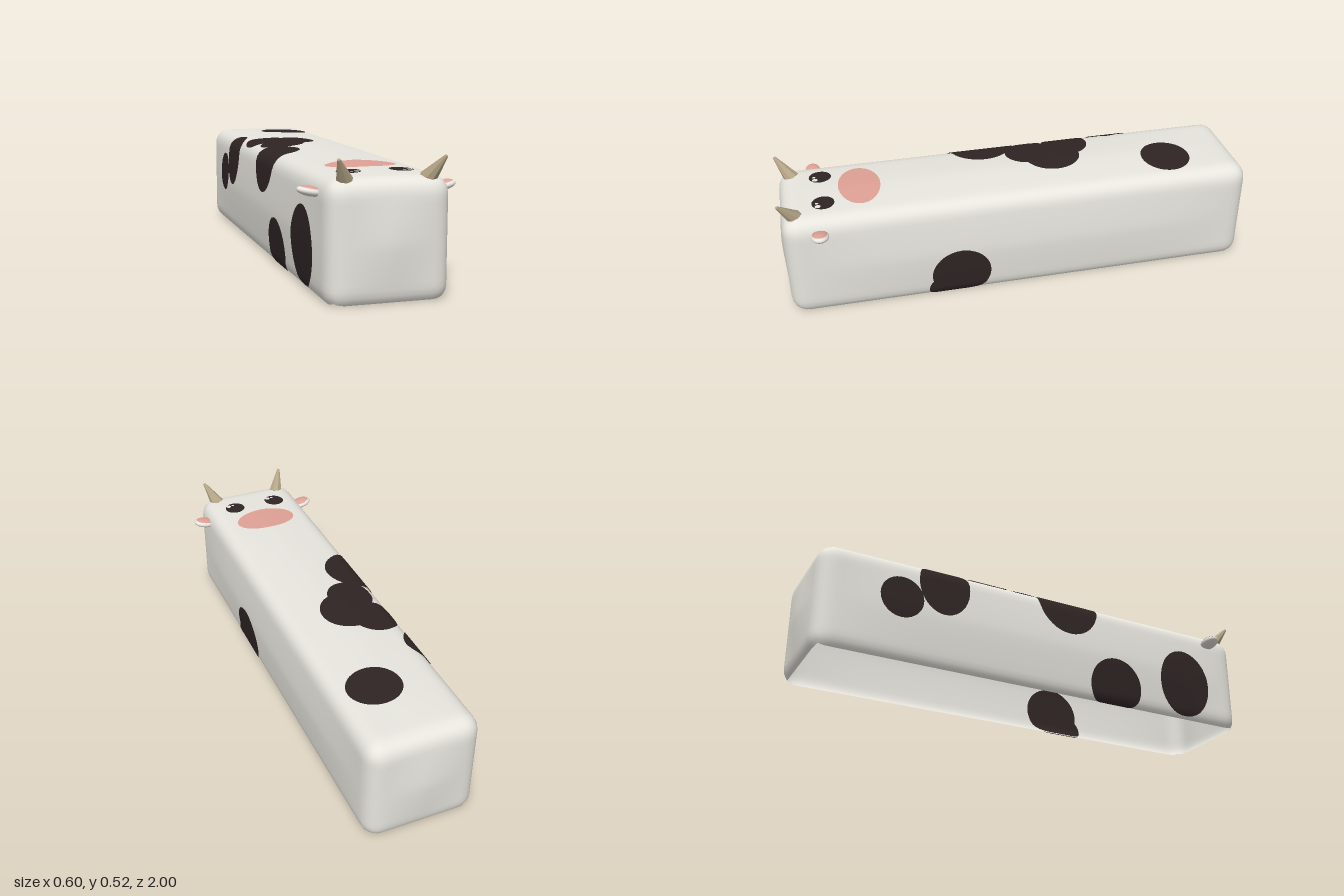
import * as THREE from 'three';
import { mergeGeometries, mergeVertices } from 'three/addons/utils/BufferGeometryUtils.js';

const material = (name, color, side = THREE.FrontSide) => {
  const m = new THREE.MeshStandardMaterial({ color, side });
  m.name = name;
  return m;
};

// Body box: half width, bottom, top, half length, edge radius
const HX = 0.23, Y0 = -0.0205, Y1 = 0.44, HZ = 0.985, R = 0.069;
const MID = (Y0 + Y1) / 2, HY = (Y1 - Y0) / 2;

// Moves a point of the plain box onto the rounded, slightly swollen skin
function skin(p, lift = 0) {
  const core = new THREE.Vector3(
    THREE.MathUtils.clamp(p.x, -HX + R, HX - R),
    THREE.MathUtils.clamp(p.y, Y0 + R, Y1 - R),
    THREE.MathUtils.clamp(p.z, -HZ + R, HZ - R)
  );
  const n = p.clone().sub(core).normalize();
  const swell = (v, half, power) => 1 - Math.min(1, Math.abs(v) / (half - R)) ** power;
  const sx = swell(p.x, HX, 1.4), sy = swell(p.y - MID, HY, 1.4), sz = swell(p.z, HZ, 4);
  const out = core.addScaledVector(n, R + lift);
  out.x += n.x * 0.013 * sy * sz;
  out.y += n.y * 0.011 * sx * sz;
  out.z += n.z * 0.015 * sx * sy;
  return out;
}

function reshape(geometry, rule) {
  const pos = geometry.attributes.position;
  const p = new THREE.Vector3();
  for (let i = 0; i < pos.count; i++) {
    const q = rule(p.fromBufferAttribute(pos, i));
    pos.setXYZ(i, q.x, q.y, q.z);
  }
  return geometry;
}

// Shell without a floor
function bodyGeometry() {
  const box = new THREE.BoxGeometry(2 * HX, 2 * HY, 2 * HZ, 20, 20, 80);
  box.translate(0, MID, 0);
  const index = Array.from(box.index.array);
  const floor = box.groups[3];
  index.splice(floor.start, floor.count);
  box.setIndex(index);
  box.clearGroups();
  box.deleteAttribute('normal');
  box.deleteAttribute('uv');
  const g = mergeVertices(reshape(box, (p) => skin(p)));
  g.computeVertexNormals();
  return g;
}

// Box point at distance s from the top centre line, running over the edge and down the side
function unroll(s, z) {
  const a = Math.abs(s), side = Math.sign(s);
  return a <= HX
    ? new THREE.Vector3(s, Y1, z)
    : new THREE.Vector3(side * HX, Math.max(Y0, Y1 - (a - HX)), z);
}

// Thin oval patches that follow the skin, outside and inside
function patch(ovals, lift = 0.003) {
  const parts = [];
  for (const [s, z, rs, rz] of ovals) {
    for (const l of [lift, -lift]) {
      const g = new THREE.RingGeometry(0, 1, 40, 10);
      reshape(g, (p) => skin(unroll(s + p.y * rs, z + p.x * rz), l));
      g.computeVertexNormals();
      parts.push(g);
    }
  }
  return mergeGeometries(parts);
}

// Distance along the unrolled skin of a side point at height y
const down = (y) => HX + Y1 - y;

export function createModel() {
  const hide = material('white hide', 0xe8e6df, THREE.DoubleSide);
  const dark = material('dark brown', 0x2f2424, THREE.DoubleSide);
  const pink = material('pink', 0xdfa195, THREE.DoubleSide);
  const horn = material('horn', 0xb5a587);

  const model = new THREE.Group();
  model.name = 'longCow';
  const add = (name, geometry, mat, parent = model) => {
    const mesh = new THREE.Mesh(geometry, mat);
    mesh.name = name;
    parent.add(mesh);
    return mesh;
  };

  add('body', bodyGeometry(), hide);

  // Hide spots: [across, along, half across, half along]
  const spots = {
    rumpSpot: [[0.06, -0.66, 0.11, 0.105]],
    backSpot: [[-0.14, -0.26, 0.1, 0.1], [-0.045, -0.18, 0.11, 0.12], [-0.1, -0.09, 0.095, 0.105]],
    shoulderSpot: [[-0.24, 0.105, 0.16, 0.145]],
    hipSpot: [[-0.31, -0.47, 0.14, 0.11]],
    thighSpot: [[-down(0.26), -0.65, 0.09, 0.09]],
    neckSpot: [[-down(0.16), 0.69, 0.155, 0.13]],
    rightBellySpot: [[-down(0.075), 0.33, 0.125, 0.125]],
    leftBellySpot: [[down(0.1), 0.275, 0.122, 0.125], [down(0.03), 0.33, 0.07, 0.085]],
  };
  for (const [name, ovals] of Object.entries(spots)) add(name, patch(ovals), dark);

  // Face on the top of the front end
  add('muzzle', patch([[0, 0.655, 0.137, 0.087]]), pink);

  for (const side of [1, -1]) {
    const label = side > 0 ? 'left' : 'right';
    add(label + 'Eye', patch([[side * 0.1, 0.81, 0.045, 0.046]]), dark);
    add(label + 'EyeShine',
      patch([[side * 0.1 + 0.025, 0.832, 0.011, 0.012], [side * 0.1 + 0.003, 0.835, 0.006, 0.007]], 0.005), hide);

    // Horn: faceted cone leaning outwards and forwards
    const base = new THREE.Vector3(side * 0.152, 0.423, 0.925);
    const tip = new THREE.Vector3(side * 0.195, 0.51, 0.988);
    const axis = tip.clone().sub(base);
    const cone = new THREE.CylinderGeometry(0.006, 0.033, axis.length(), 8, 1).toNonIndexed();
    cone.computeVertexNormals();
    const hornMesh = add(label + 'Horn', cone, horn);
    hornMesh.position.copy(base).lerp(tip, 0.5);
    hornMesh.quaternion.setFromUnitVectors(new THREE.Vector3(0, 1, 0), axis.normalize());

    // Ear: flat ellipsoid with a pink upper side
    const ear = new THREE.Group();
    ear.name = label + 'Ear';
    ear.position.set(side * 0.25, 0.384, 0.837);
    ear.rotation.z = side * 0.2;
    model.add(ear);
    add('earShell', new THREE.SphereGeometry(1, 20, 14).scale(0.05, 0.018, 0.036), hide, ear);
    add('earInside',
      new THREE.SphereGeometry(1, 20, 6, 0, Math.PI * 2, 0, Math.PI * 0.3).scale(0.051, 0.0195, 0.037), pink, ear);
  }
  return model;
}
